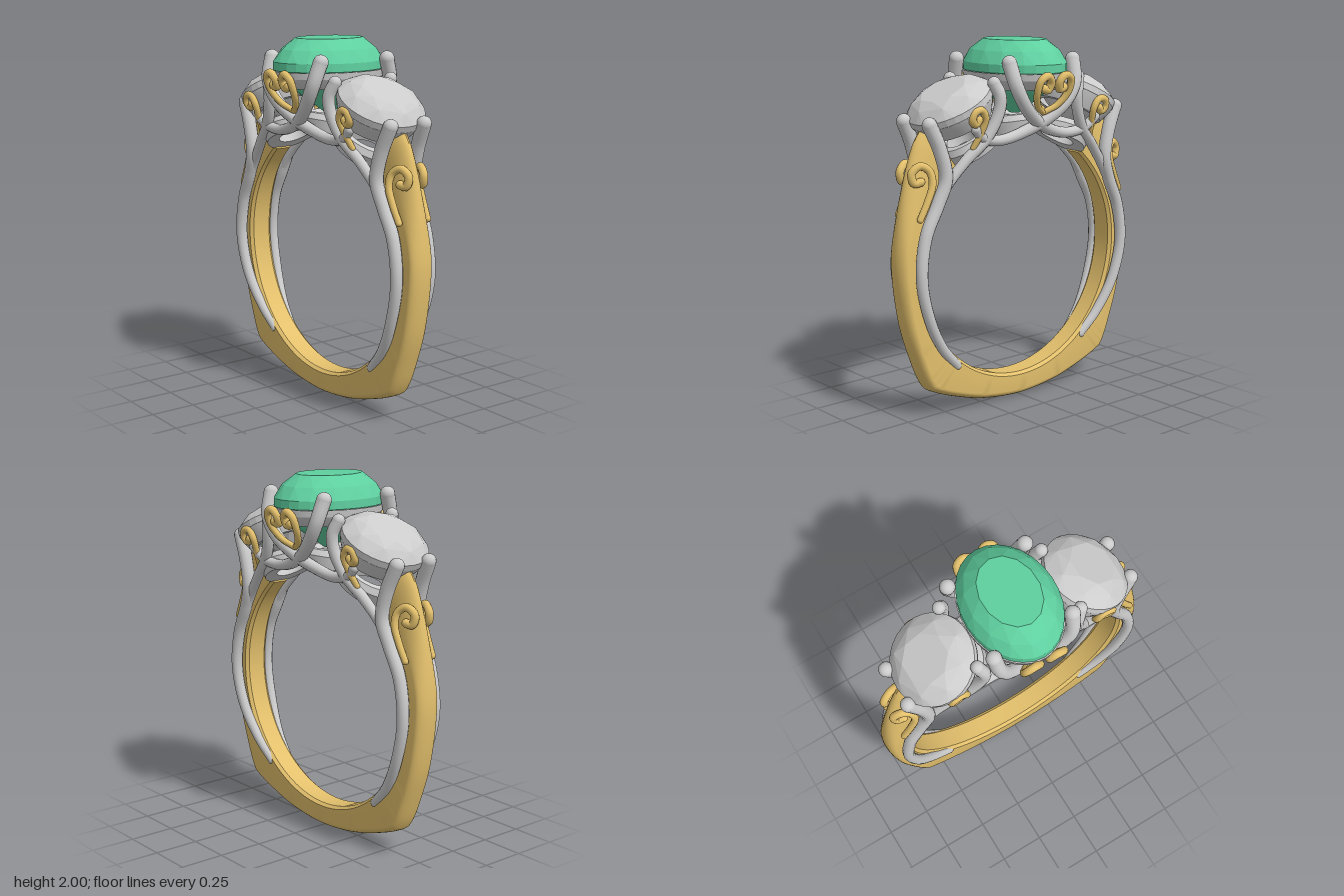
import * as THREE from 'three';
import { toCreasedNormals } from 'three/addons/utils/BufferGeometryUtils.js';
import { ConvexGeometry } from 'three/addons/geometries/ConvexGeometry.js';

const silver = new THREE.MeshStandardMaterial({ color: 0xcccccc });
const gold = new THREE.MeshStandardMaterial({ color: 0xe3c06c });
const green = new THREE.MeshStandardMaterial({ color: 0x5fd0a0, flatShading: true });
const clear = new THREE.MeshStandardMaterial({ color: 0xcccccc, flatShading: true });

const CY = 0.82;      // height of the finger hole's centre
const INNER = 0.68;   // radius of the finger hole
const TILT = 0.482;   // angle of the side settings from the top

function add(parent, name, geometry, material) {
  const mesh = new THREE.Mesh(geometry, material);
  mesh.name = name;
  parent.add(mesh);
  return mesh;
}

// Round wire through points, tapering from r0 to r1, with ball ends
function wire(parent, name, pts, r0, r1, material) {
  const group = new THREE.Group();
  group.name = name;
  parent.add(group);
  const curve = new THREE.CatmullRomCurve3(pts.map(p => new THREE.Vector3(...p)));
  const N = pts.length * 7, M = 12;
  const geo = new THREE.TubeGeometry(curve, N, 1, M);
  const pos = geo.attributes.position, v = new THREE.Vector3();
  for (let i = 0; i <= N; i++) {
    const c = curve.getPointAt(i / N), r = r0 + (r1 - r0) * i / N;
    for (let j = 0; j <= M; j++) {
      const k = i * (M + 1) + j;
      v.fromBufferAttribute(pos, k).sub(c).multiplyScalar(r).add(c);
      pos.setXYZ(k, v.x, v.y, v.z);
    }
  }
  add(group, name + 'Rod', geo, material);
  [[0, r0], [1, r1]].forEach(([t, r]) =>
    add(group, name + 'End', new THREE.SphereGeometry(r, 14, 10), material).position.copy(curve.getPointAt(t)));
}

// The same wire on left and right, front and back
function fourWires(parent, name, pts, r0, r1, material) {
  for (const sx of [1, -1]) for (const sz of [1, -1])
    wire(parent, name, pts.map(([x, y, z]) => [x * sx, y, z * sz]), r0, r1, material);
}

// Faceted stone: hull of staggered rings [radius, height, count, stagger]
function gemGeometry(rings, sx, sz) {
  const pts = [];
  for (const [r, y, n, off] of rings) for (let i = 0; i < n; i++) {
    const a = (i + off) / n * Math.PI * 2;
    pts.push(new THREE.Vector3(Math.cos(a) * r * sx, y, Math.sin(a) * r * sz));
  }
  return new ConvexGeometry(pts);
}

// Closed ring turned from a [radius, height] section
function ringGeometry(section) {
  const pts = [...section, section[0]].map(p => new THREE.Vector2(...p));
  return toCreasedNormals(new THREE.LatheGeometry(pts, 48), 0.6);
}

// Shank: sections swept round the finger hole, from one shoulder to the other
function shankGeometry() {
  const half = [[0.63, 1.57], [0.69, 1.48], [0.75, 1.3], [0.8, 1.05], [0.815, 0.82], [0.775, 0.53],
    [0.7, 0.3], [0.645, 0.18], [0.6, 0.14], [0.45, 0.08], [0.25, 0.025]];
  const outline = [...half, [0, 0], ...half.slice().reverse().map(([x, y]) => [-x, y])];
  const curve = new THREE.SplineCurve(outline.map(p => new THREE.Vector2(...p)));
  const N = 132, J = 14, M = J + 5, pos = [], index = [];
  for (let i = 0; i <= N; i++) {
    const p = curve.getPoint(i / N);
    const dx = p.x, dy = p.y - CY, ro = Math.hypot(dx, dy), ux = dx / ro, uy = dy / ro;
    const top = THREE.MathUtils.smoothstep(p.y, 0.9, 1.55);
    const w = 0.072 - 0.014 * top, h = 0.04 + 0.13 * top;
    const section = [];
    for (let j = 0; j <= J; j++) {
      const a = (j / J - 0.5) * Math.PI;
      section.push([ro - h * (1 - Math.cos(a)), w * Math.sin(a)]);
    }
    section.push([INNER + 0.015, w], [INNER, w * 0.75], [INNER, -w * 0.75], [INNER + 0.015, -w]);
    for (const [r, z] of section) pos.push(ux * r, CY + uy * r, z);
  }
  for (let i = 0; i < N; i++) for (let j = 0; j < M; j++) {
    const a = i * M + j, b = i * M + (j + 1) % M, c = a + M, d = b + M;
    index.push(a, c, b, b, c, d);
  }
  for (let j = 1; j < M - 1; j++) {
    index.push(0, j, j + 1);
    index.push(N * M, N * M + j + 1, N * M + j);
  }
  const geo = new THREE.BufferGeometry();
  geo.setAttribute('position', new THREE.Float32BufferAttribute(pos, 3));
  geo.setIndex(index);
  return toCreasedNormals(geo, 0.6);
}

// Flat ring under a stone, bent to follow the finger hole
function galleryGeometry() {
  const geo = ringGeometry([[0.095, 0], [0.165, 0], [0.175, 0.07], [0.155, 0.1], [0.125, 0.1], [0.1, 0.07]]);
  const pos = geo.attributes.position;
  for (let i = 0; i < pos.count; i++) {
    const x = pos.getX(i);
    pos.setY(i, pos.getY(i) + Math.sqrt(0.69 * 0.69 - x * x));
  }
  return toCreasedNormals(geo, 0.6);
}

export function createModel() {
  const ring = new THREE.Group();
  ring.name = 'threeStoneRing';
  add(ring, 'shank', shankGeometry(), gold).material.side = THREE.DoubleSide;

  // Centre stone and its oval seat
  const centre = new THREE.Group();
  centre.name = 'centreSetting';
  centre.position.y = 1.855;
  ring.add(centre);
  add(centre, 'centreStone', gemGeometry([
    [0.61, 0.145, 14, 0.5], [0.86, 0.088, 14, 0], [1, 0.022, 28, 0], [1, -0.022, 28, 0],
    [0.62, -0.14, 14, 0.5], [0.1, -0.255, 14, 0]], 0.245, 0.325), green);
  add(centre, 'centreSeat', ringGeometry([
    [0.78, -0.115], [0.87, -0.115], [1.0, -0.06], [1.02, -0.025], [0.94, -0.025], [0.84, -0.065]]), silver)
    .scale.set(0.245, 1, 0.325);

  // Side stones and their round seats
  for (const s of [1, -1]) {
    const side = new THREE.Group();
    side.name = s > 0 ? 'leftSetting' : 'rightSetting';
    side.position.set(s * 0.97 * Math.sin(TILT), CY + 0.97 * Math.cos(TILT), 0);
    side.rotation.z = -s * TILT;
    ring.add(side);
    add(side, 'sideStone', gemGeometry([
      [0.55, 0.09, 8, 0.5], [0.8, 0.066, 8, 0], [1, 0.018, 32, 0], [1, -0.018, 32, 0],
      [0.6, -0.1, 8, 0.5], [0.05, -0.19, 8, 0]], 0.237, 0.237), clear);
    add(side, 'sideSeat', ringGeometry([
      [0.165, -0.11], [0.195, -0.11], [0.225, -0.05], [0.235, -0.02], [0.215, -0.02], [0.195, -0.06]]), silver);
  }

  // Gallery rings under the three stones
  for (const k of [-1, 0, 1]) {
    const gallery = add(ring, 'galleryRing', galleryGeometry(), silver);
    gallery.position.y = CY;
    gallery.rotation.z = -k * TILT;
  }

  // Wires that run up the shank and end as the outer prongs
  fourWires(ring, 'shoulderWire', [
    [0.46, 0.27, 0.055], [0.57, 0.39, 0.075], [0.67, 0.57, 0.1], [0.725, 0.8, 0.11], [0.695, 1.02, 0.11],
    [0.62, 1.18, 0.115], [0.575, 1.31, 0.125], [0.605, 1.46, 0.12], [0.665, 1.595, 0.11]], 0.027, 0.04, silver);
  // Branches that end as the inner prongs of the side stones
  fourWires(ring, 'sideProng', [
    [0.62, 1.17, 0.11], [0.56, 1.27, 0.115], [0.46, 1.39, 0.14], [0.34, 1.51, 0.175], [0.28, 1.64, 0.2],
    [0.275, 1.72, 0.205], [0.3, 1.79, 0.185]], 0.026, 0.035, silver);
  // Centre prongs that cross below the stone to the other side
  fourWires(ring, 'centreProng', [
    [-0.43, 1.56, 0.19], [-0.36, 1.505, 0.175], [-0.24, 1.485, 0.165], [-0.1, 1.515, 0.18], [0.03, 1.575, 0.215],
    [0.14, 1.665, 0.25], [0.205, 1.77, 0.255], [0.225, 1.89, 0.22]], 0.026, 0.041, silver);

  // Gold scrolls: a pair under the centre stone, one by each side stone, one on each shoulder
  fourWires(ring, 'centreScroll', [
    [0.005, 1.62, 0.235], [0.07, 1.66, 0.27], [0.11, 1.73, 0.31], [0.105, 1.8, 0.335], [0.065, 1.822, 0.34],
    [0.03, 1.79, 0.33], [0.042, 1.748, 0.315], [0.07, 1.755, 0.315]], 0.016, 0.024, gold);
  fourWires(ring, 'sideScroll', [
    [0.42, 1.46, 0.16], [0.395, 1.55, 0.2], [0.39, 1.62, 0.225], [0.42, 1.662, 0.23], [0.463, 1.655, 0.23],
    [0.475, 1.615, 0.222], [0.45, 1.592, 0.215], [0.43, 1.612, 0.218]], 0.016, 0.023, gold);
  fourWires(ring, 'shoulderScroll', [
    [0.72, 1.11, 0.095], [0.675, 1.2, 0.1], [0.642, 1.29, 0.1], [0.65, 1.355, 0.085], [0.695, 1.382, 0.065],
    [0.738, 1.345, 0.05], [0.725, 1.295, 0.055], [0.69, 1.3, 0.065]], 0.018, 0.023, gold);
  return ring;
}
